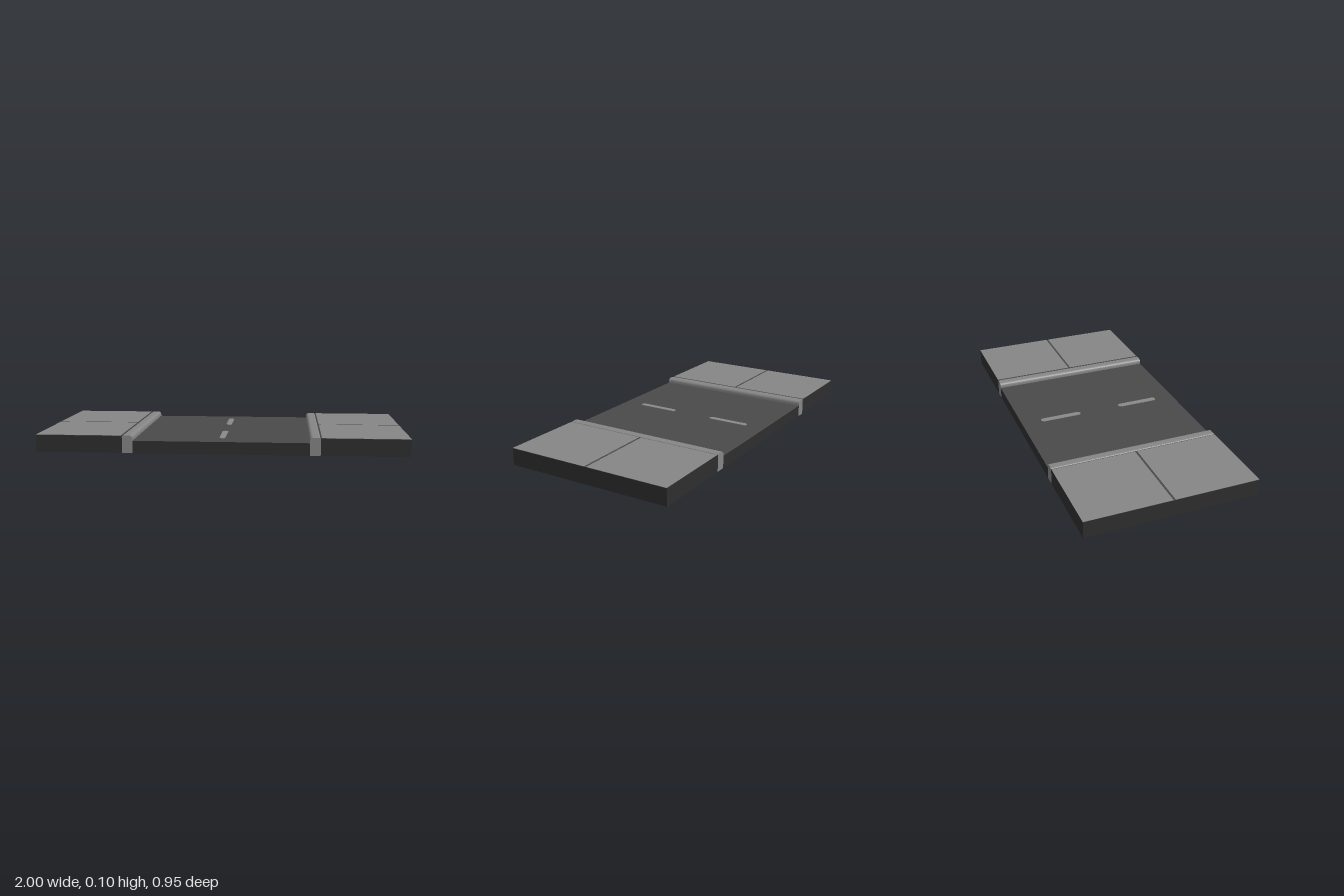
import * as THREE from 'three';

const HALF_DEPTH = 0.473;
const PAVE_H = 0.093, ROAD_H = 0.067;

const mat = (name, color) => {
  const m = new THREE.MeshStandardMaterial({ color });
  m.name = name;
  return m;
};

export function createModel() {
  const model = new THREE.Group();
  const asphalt = mat('asphalt', 0x4a4a4a);
  const side = mat('dark side', 0x2e2e2e);
  const concrete = mat('concrete', 0x868686);
  const paint = mat('lane paint', 0x898989);

  const add = (name, geometry, material, x = 0, y = 0, z = 0) => {
    const mesh = new THREE.Mesh(geometry, material);
    mesh.name = name;
    mesh.position.set(x, y, z);
    model.add(mesh);
    return mesh;
  };
  // Block standing on the ground with its own top and underside colours
  const block = (name, x0, x1, h, top, bottom) =>
    add(name, new THREE.BoxGeometry(x1 - x0, h, HALF_DEPTH * 2),
      [side, side, top, bottom, side, side], (x0 + x1) / 2, h / 2, 0);

  // Road bed
  block('road', -0.473, 0.473, ROAD_H, asphalt, asphalt);

  // Kerb cross-section with rounded top corners, larger towards the road
  const kerbShape = (s) => {
    const p = new THREE.Shape();
    p.moveTo(s * 0.473, 0);
    p.lineTo(s * 0.53, 0);
    p.lineTo(s * 0.53, 0.085);
    p.quadraticCurveTo(s * 0.53, 0.096, s * 0.519, 0.096);
    p.lineTo(s * 0.494, 0.096);
    p.quadraticCurveTo(s * 0.473, 0.096, s * 0.473, 0.075);
    p.closePath();
    return p;
  };

  for (const s of [-1, 1]) {
    const label = s > 0 ? 'left' : 'right';
    // Pavement bed; its dark top shows in the seams between the slabs
    block(label + 'PavementBed', s > 0 ? 0.53 : -1, s > 0 ? 1 : -0.53, PAVE_H, asphalt, concrete);
    add(label + 'Kerb', new THREE.ExtrudeGeometry(kerbShape(s),
      { depth: HALF_DEPTH * 2, bevelEnabled: false, curveSegments: 6 }), concrete, 0, 0, -HALF_DEPTH);

    // Two paving slabs
    for (const t of [-1, 1]) {
      const slab = new THREE.PlaneGeometry(1 - 0.536, HALF_DEPTH - 0.006).rotateX(-Math.PI / 2);
      add(label + 'Slab', slab, concrete, s * 0.768, PAVE_H + 0.002, t * (HALF_DEPTH + 0.006) / 2);
    }
  }

  // Lane dashes with rounded ends, on the road and on its underside
  const r = 0.016, half = 0.12 - r;
  const dash = new THREE.Shape();
  dash.absarc(0, half, r, 0, Math.PI);
  dash.absarc(0, -half, r, Math.PI, Math.PI * 2);
  dash.closePath();
  const dashTop = new THREE.ExtrudeGeometry(dash, { depth: 0.003, bevelEnabled: false, curveSegments: 6 })
    .rotateX(-Math.PI / 2);
  const dashUnder = new THREE.ShapeGeometry(dash, 6).rotateX(Math.PI / 2);
  for (const t of [-1, 1]) {
    add('laneDash', dashTop, paint, 0, ROAD_H, t * 0.24);
    add('undersideDash', dashUnder, paint, 0, -0.001, t * 0.24);
  }

  return model;
}
